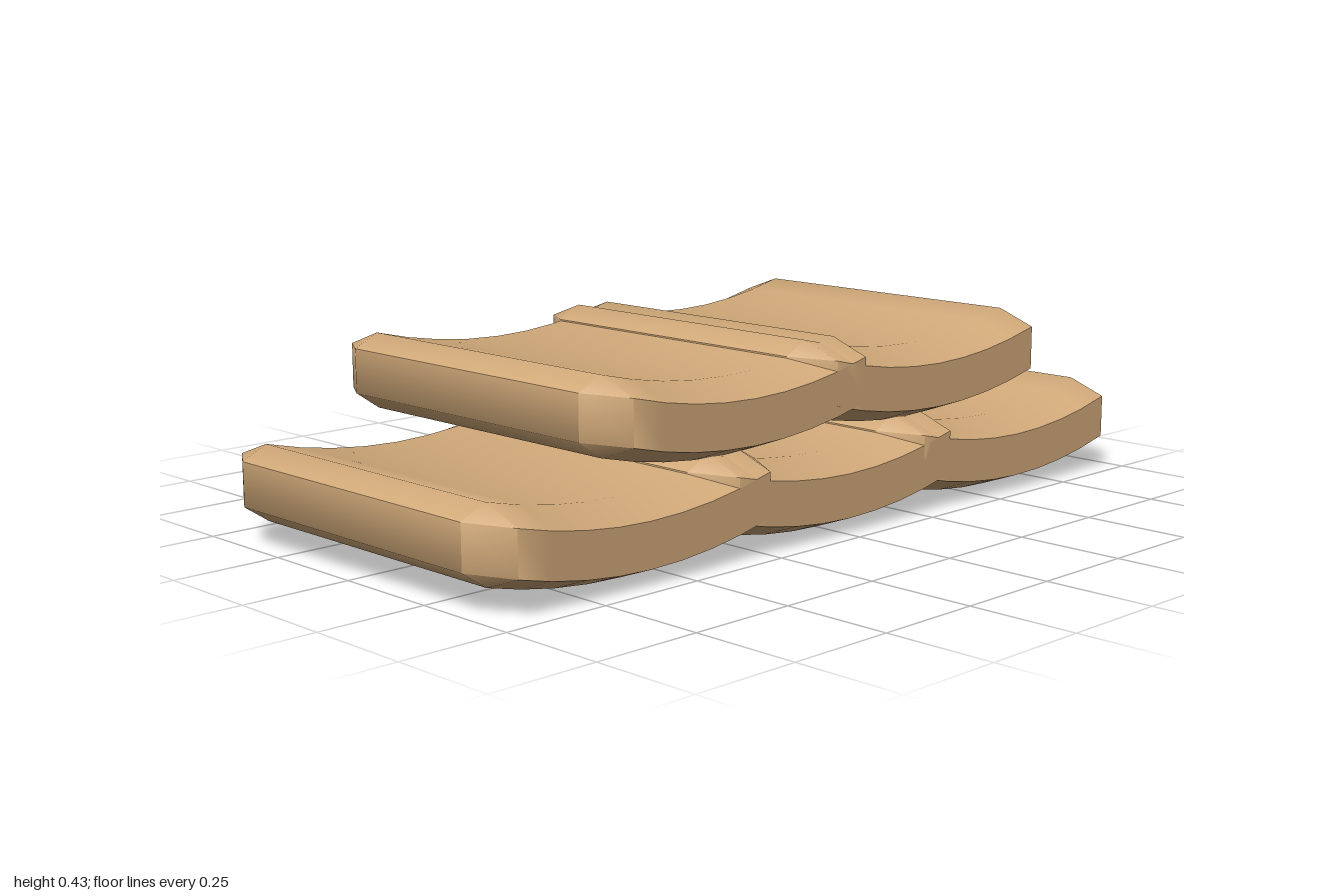
import * as THREE from 'three';
import { toCreasedNormals } from 'three/addons/utils/BufferGeometryUtils.js';

// Half cross-section of a bag: [z, y], seen from +x, counter-clockwise
const RING = [
  [-0.465, 0.05], [-0.37, 0.085], [0.37, 0.085], [0.465, 0.05],
  [0.465, -0.05], [0.37, -0.085], [-0.37, -0.085], [-0.465, -0.05],
];

// Chamfered slab that sags in the middle, lofted along x
function bagGeometry() {
  const x0 = -0.34, x1 = 0.352, steps = 8;
  const stations = [-0.4];
  for (let i = 0; i <= steps; i++) stations.push(x0 + (x1 - x0) * i / steps);
  stations.push(0.4);
  const last = stations.length - 1, n = RING.length;
  const sag = x => 0.046 * Math.min(1.15, ((x - 0.01) / 0.345) ** 2);

  const positions = [], index = [];
  stations.forEach((x, i) => {
    const end = i === 0 || i === last;
    for (const [z, y] of RING) {
      // the end faces shrink to a plain rectangle, which cuts the corners
      const py = end ? Math.sign(y) * 0.05 : y;
      const pz = end ? Math.sign(z) * 0.37 : z;
      positions.push(x, 0.085 + sag(x) + py, pz);
    }
  });

  // sides
  for (let i = 0; i < last; i++) {
    for (let k = 0; k < n; k++) {
      const a = i * n + k, b = i * n + (k + 1) % n;
      const c = b + n, d = a + n;
      const pinched = k % 4 === 0 || k % 4 === 2; // chamfer strips meet in a point
      if (!(i === 0 && pinched)) index.push(a, b, c);
      if (i === 0 && pinched) index.push(a, c, d);
      else if (!(i === last - 1 && pinched)) index.push(a, c, d);
    }
  }
  // end faces
  const e = last * n;
  index.push(0, 4, 2, 0, 6, 4, e, e + 2, e + 4, e, e + 4, e + 6);

  const g = new THREE.BufferGeometry();
  g.setAttribute('position', new THREE.Float32BufferAttribute(positions, 3));
  g.setIndex(index);
  return toCreasedNormals(g, 1.05);
}

export function createModel() {
  const model = new THREE.Group();
  model.name = 'sandbagStack';
  const burlap = new THREE.MeshStandardMaterial({ color: 0xd2aa7a });
  burlap.name = 'burlap';
  const geometry = bagGeometry();

  // Two overlapping rows, the upper one staggered
  const rows = [
    { name: 'lowerRow', y: 0, xs: [-0.6, 0, 0.6] },
    { name: 'upperRow', y: 0.208, xs: [-0.3, 0.3] },
  ];
  for (const { name, y, xs } of rows) {
    const row = new THREE.Group();
    row.name = name;
    row.position.y = y;
    xs.forEach((x, i) => {
      const bag = new THREE.Mesh(geometry, burlap);
      bag.name = `sandbag${i + 1}`;
      bag.position.x = x;
      row.add(bag);
    });
    model.add(row);
  }
  return model;
}
